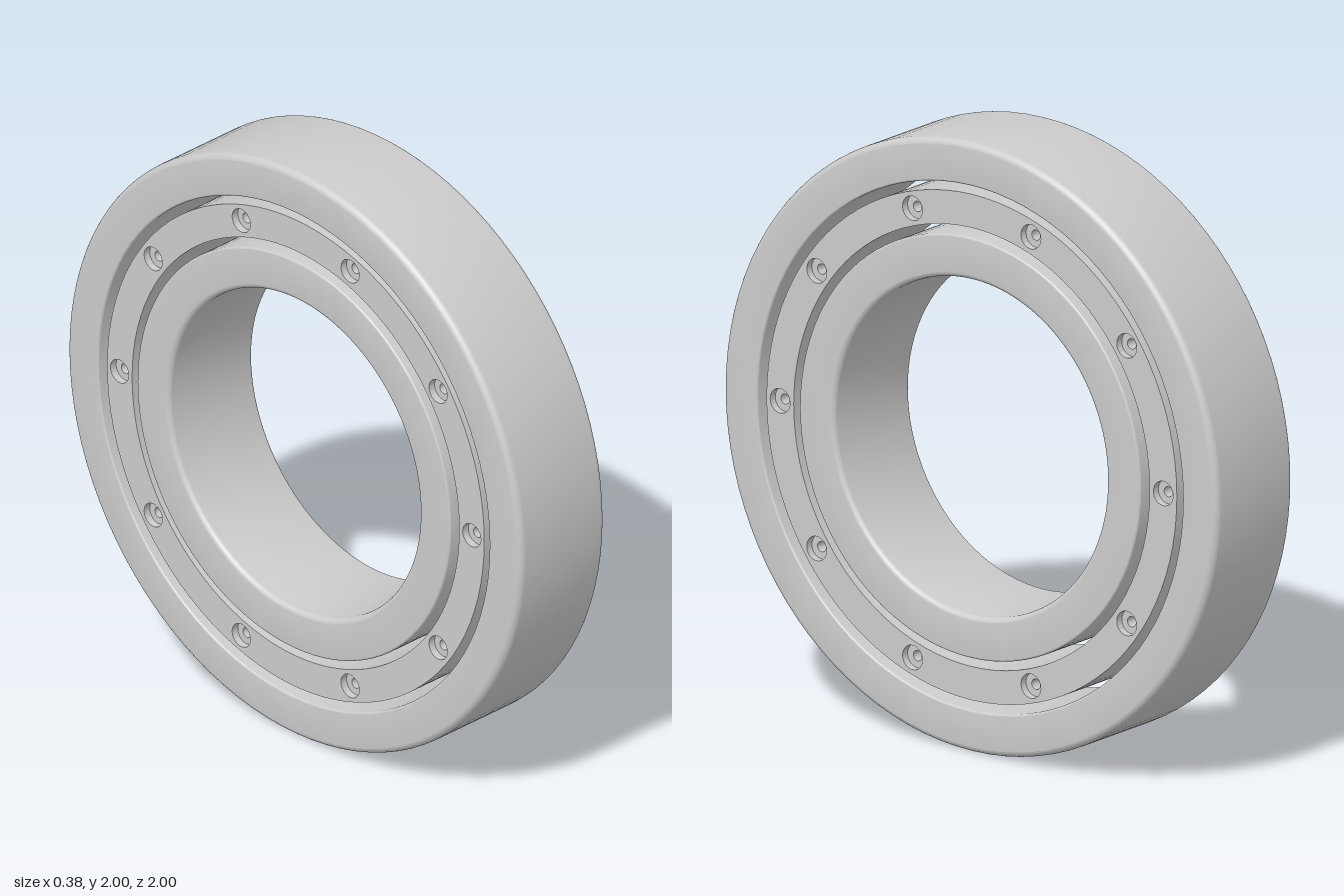
import * as THREE from 'three';
import { toCreasedNormals } from 'three/addons/utils/BufferGeometryUtils.js';

const HALF = 0.19;      // half width of the rings
const CAGE_HALF = 0.18; // cage sits slightly below the ring faces
const BORE = 0.025;     // counterbore depth
const material = new THREE.MeshStandardMaterial({ color: 0xcccccc });

function addMesh(parent, geometry, name) {
  const mesh = new THREE.Mesh(toCreasedNormals(geometry, 0.2), material);
  mesh.name = name;
  parent.add(mesh);
  return mesh;
}

// Revolved ring with rounded edges; separate fillets inside and outside
function ringGeometry(rIn, rOut, filletIn, filletOut) {
  const points = [];
  const corner = (r, y, f, start) => {
    for (let i = 0; i <= 6; i++) {
      const a = start + (i / 6) * Math.PI / 2;
      points.push(new THREE.Vector2(r + f * Math.cos(a), y + f * Math.sin(a)));
    }
  };
  corner(rOut - filletOut, -HALF + filletOut, filletOut, -Math.PI / 2);
  corner(rOut - filletOut, HALF - filletOut, filletOut, 0);
  corner(rIn + filletIn, HALF - filletIn, filletIn, Math.PI / 2);
  corner(rIn + filletIn, -HALF + filletIn, filletIn, Math.PI);
  points.push(points[0].clone());
  return new THREE.LatheGeometry(points, 96).rotateZ(Math.PI / 2);
}

// Flat annulus pierced by ten evenly spaced holes, extruded along x
function cageGeometry(holeRadius, depth, xStart) {
  const shape = new THREE.Shape().absarc(0, 0, 0.83, 0, Math.PI * 2);
  shape.holes.push(new THREE.Path().absarc(0, 0, 0.72, 0, Math.PI * 2, true));
  for (let i = 0; i < 10; i++) {
    const a = (i / 10) * Math.PI * 2;
    shape.holes.push(new THREE.Path().absarc(
      0.775 * Math.cos(a), 0.775 * Math.sin(a), holeRadius, 0, Math.PI * 2, true));
  }
  return new THREE.ExtrudeGeometry(shape, { depth, bevelEnabled: false, curveSegments: 48 })
    .rotateY(Math.PI / 2).translate(xStart, 0, 0);
}

export function createModel() {
  const model = new THREE.Group();
  model.name = 'bearing';

  // Outer and inner races
  addMesh(model, ringGeometry(0.86, 1, 0.008, 0.025), 'outerRing');
  addMesh(model, ringGeometry(0.55, 0.69, 0.02, 0.008), 'innerRing');

  // Cage: drilled core with a counterbored plate on each side
  const cage = new THREE.Group();
  cage.name = 'cage';
  const core = CAGE_HALF - BORE;
  addMesh(cage, cageGeometry(0.017, core * 2, -core), 'cageCore');
  addMesh(cage, cageGeometry(0.04, BORE, core), 'cagePlateLeft');
  addMesh(cage, cageGeometry(0.04, BORE, -CAGE_HALF), 'cagePlateRight');
  model.add(cage);

  model.position.y = 1;
  const root = new THREE.Group();
  root.add(model);
  return root;
}
